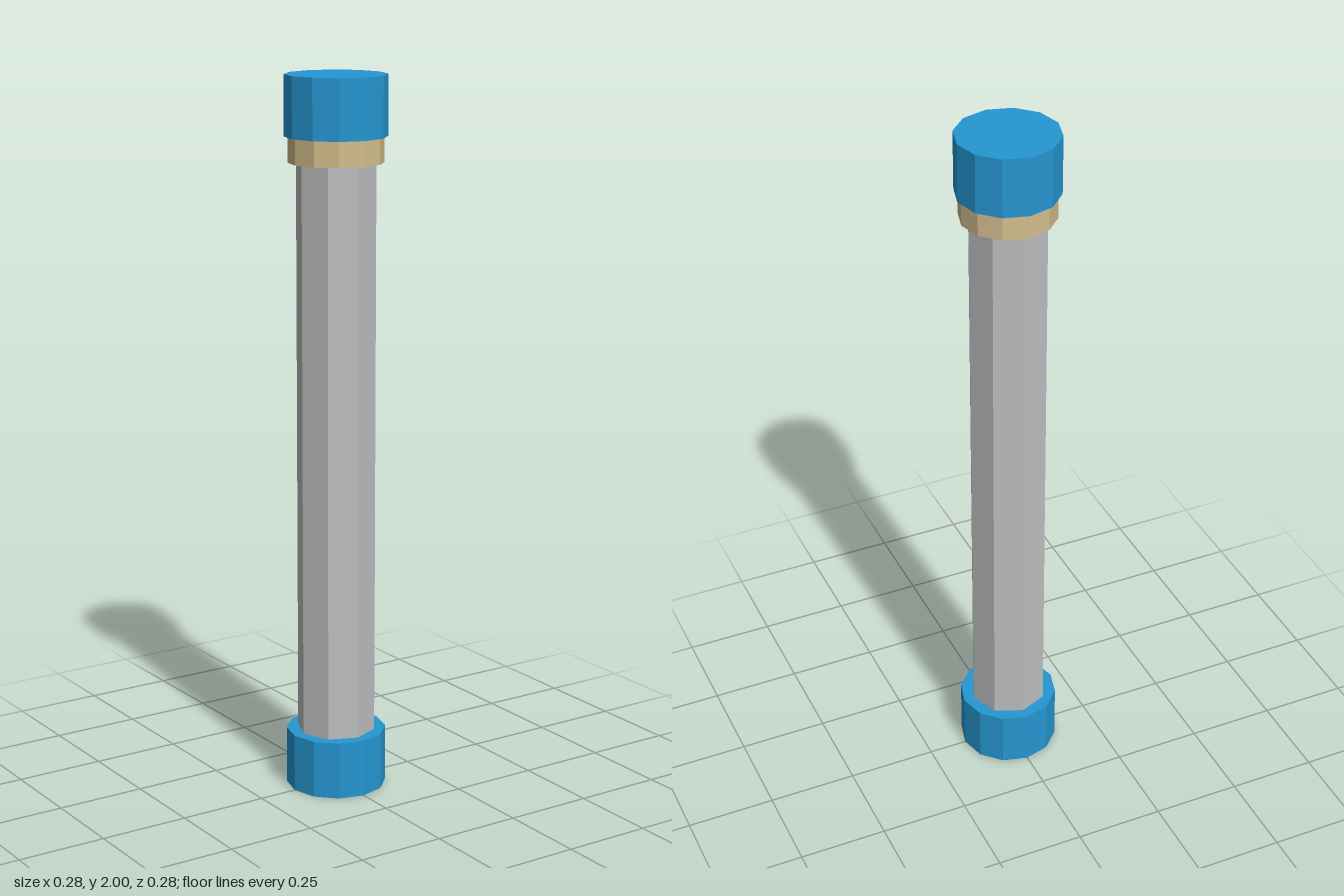
import * as THREE from 'three';

export function createModel() {
  const group = new THREE.Group();
  const blue = new THREE.MeshStandardMaterial({ color: 0x2596d1, flatShading: true });
  const grey = new THREE.MeshStandardMaterial({ color: 0xbcbdbe, flatShading: true });
  const tan = new THREE.MeshStandardMaterial({ color: 0xd3bd8c, flatShading: true });
  blue.name = 'blue';
  grey.name = 'grey';
  tan.name = 'tan';

  // Faceted upright cylinder between two heights
  function drum(name, radius, y0, y1, sides, material) {
    const geometry = new THREE.CylinderGeometry(radius, radius, y1 - y0, sides);
    const mesh = new THREE.Mesh(geometry, material);
    mesh.name = name;
    mesh.position.y = (y0 + y1) / 2;
    group.add(mesh);
  }

  // End caps
  drum('bottomCap', 0.14, 0, 0.163, 12, blue);
  drum('topCap', 0.14, 1.835, 2, 12, blue);

  // Collar under the top cap
  drum('collar', 0.13, 1.765, 1.835, 12, tan);

  // Eight-sided shaft
  drum('shaft', 0.11, 0.163, 1.765, 8, grey);

  return group;
}
